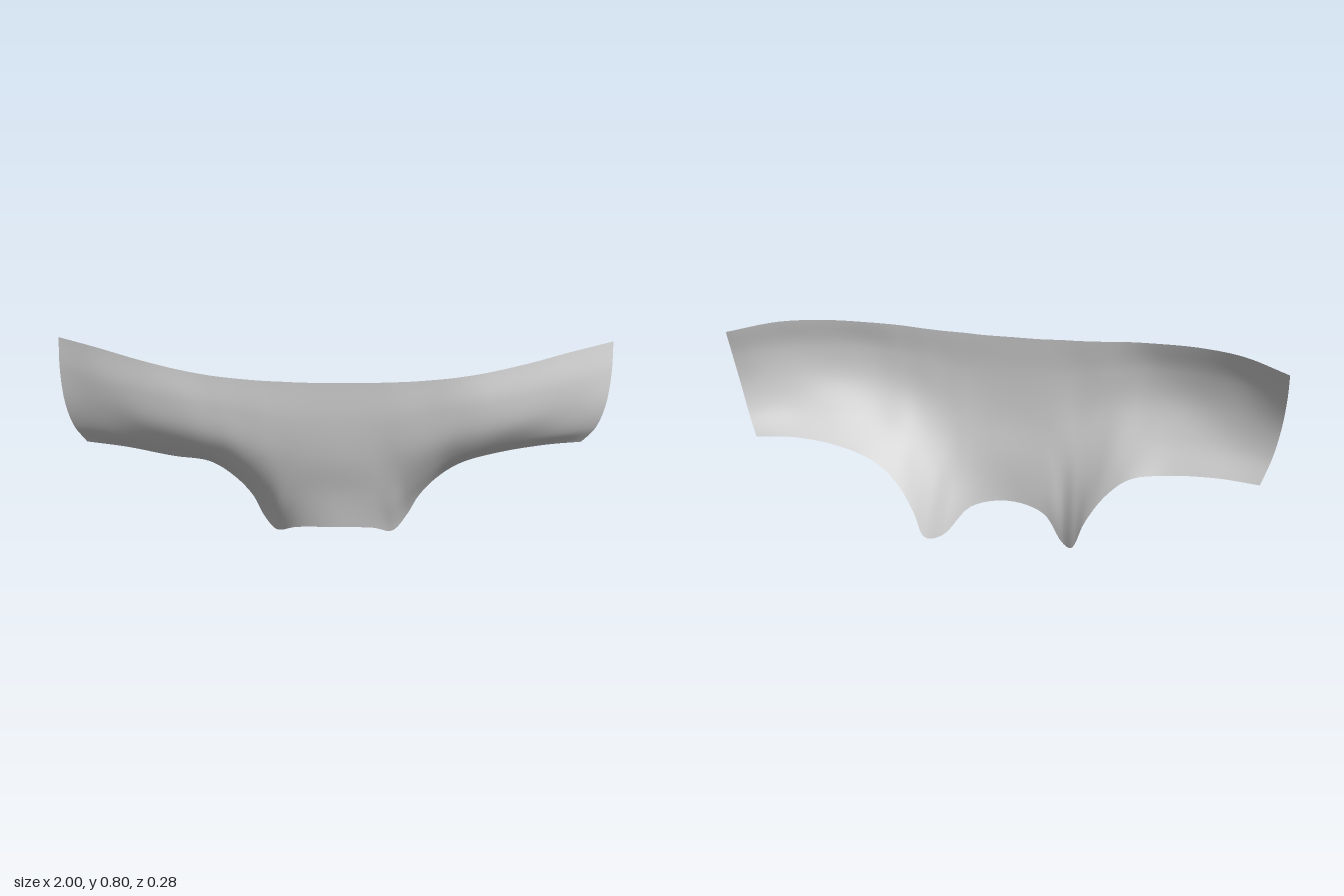
import * as THREE from 'three';

// Guide lines running from the centre out to the +x end, as [x, y, z]
const topEdge = [[0, .75, .13], [.11, .75, .13], [.18, .753, .13], [.25, .755, .128], [.33, .76, .125],
  [.42, .768, .12], [.53, .778, .1], [.68, .793, .055], [.84, .802, -.02], [1, .79, -.125]];
const brow = [[0, .6, .135], [.11, .6, .135], [.18, .6, .135], [.25, .61, .135], [.33, .63, .132],
  [.42, .65, .13], [.53, .67, .12], [.675, .68, .08], [.84, .69, .01], [.998, .68, -.085]];
const waist = [[0, .43, .123], [.115, .43, .12], [.185, .42, .112], [.25, .43, .11], [.33, .47, .112],
  [.41, .51, .112], [.52, .54, .107], [.66, .56, .075], [.83, .57, .01], [.985, .56, -.063]];
const flare = [[0, .26, .09], [.135, .25, .08], [.205, .2, .045], [.26, .23, .02], [.325, .3, .025],
  [.4, .38, .04], [.5, .42, .04], [.64, .45, .015], [.82, .46, -.025], [.96, .46, -.075]];
const bottomEdge = [[0, .105, .07], [.14, .082, .038], [.225, .005, -.06], [.28, .03, -.135], [.32, .12, -.125],
  [.385, .22, -.1], [.47, .295, -.085], [.6, .345, -.078], [.78, .375, -.09], [.92, .375, -.115]];
const guides = [topEdge, brow, waist, flare, bottomEdge];

// The -x half is slightly different along its lower edge: [dx, dy, dz]
const lowerShift = [[0, 0, 0], [0, 0, 0], [0, .01, .015], [-.005, .005, .025], [-.005, .015, .025],
  [0, .02, .025], [0, .015, .025], [0, -.01, .025], [0, -.018, .01], [.012, -.015, .005]];

const curveThrough = (points) => new THREE.CatmullRomCurve3(points, false, 'centripetal');

// Mirror a guide line to make one curve across the full width
function fullWidth(guide, row) {
  const k = (row / (guides.length - 1)) ** 2;
  const plus = guide.map((p) => new THREE.Vector3(...p));
  const minus = guide.slice(1).map(([x, y, z], i) => {
    const [dx, dy, dz] = lowerShift[i + 1];
    return new THREE.Vector3(-(x + k * dx), y + k * dy, z + k * dz);
  });
  return curveThrough([...minus.reverse(), ...plus]);
}

// Skin the guide curves with smooth columns from top to bottom
function skin(columns, rows) {
  const curves = guides.map(fullWidth);
  const positions = [], index = [];
  for (let i = 0; i <= columns; i++) {
    const column = curveThrough(curves.map((c) => c.getPoint(i / columns)));
    for (let j = 0; j <= rows; j++) positions.push(...column.getPoint(j / rows).toArray());
  }
  for (let i = 0; i < columns; i++) {
    for (let j = 0; j < rows; j++) {
      const a = i * (rows + 1) + j, b = a + rows + 1;
      index.push(a, a + 1, b, b, a + 1, b + 1);
    }
  }
  const geometry = new THREE.BufferGeometry();
  geometry.setAttribute('position', new THREE.Float32BufferAttribute(positions, 3));
  geometry.setIndex(index);
  geometry.computeVertexNormals();
  return geometry;
}

export function createModel() {
  const model = new THREE.Group();
  model.name = 'curvedPanel';
  const material = new THREE.MeshStandardMaterial({ color: 0xcccccc, side: THREE.DoubleSide });
  // Thin open shell: two wings, a central bridge and a notched lower flare
  const shell = new THREE.Mesh(skin(108, 32), material);
  shell.name = 'panelShell';
  model.add(shell);
  return model;
}
